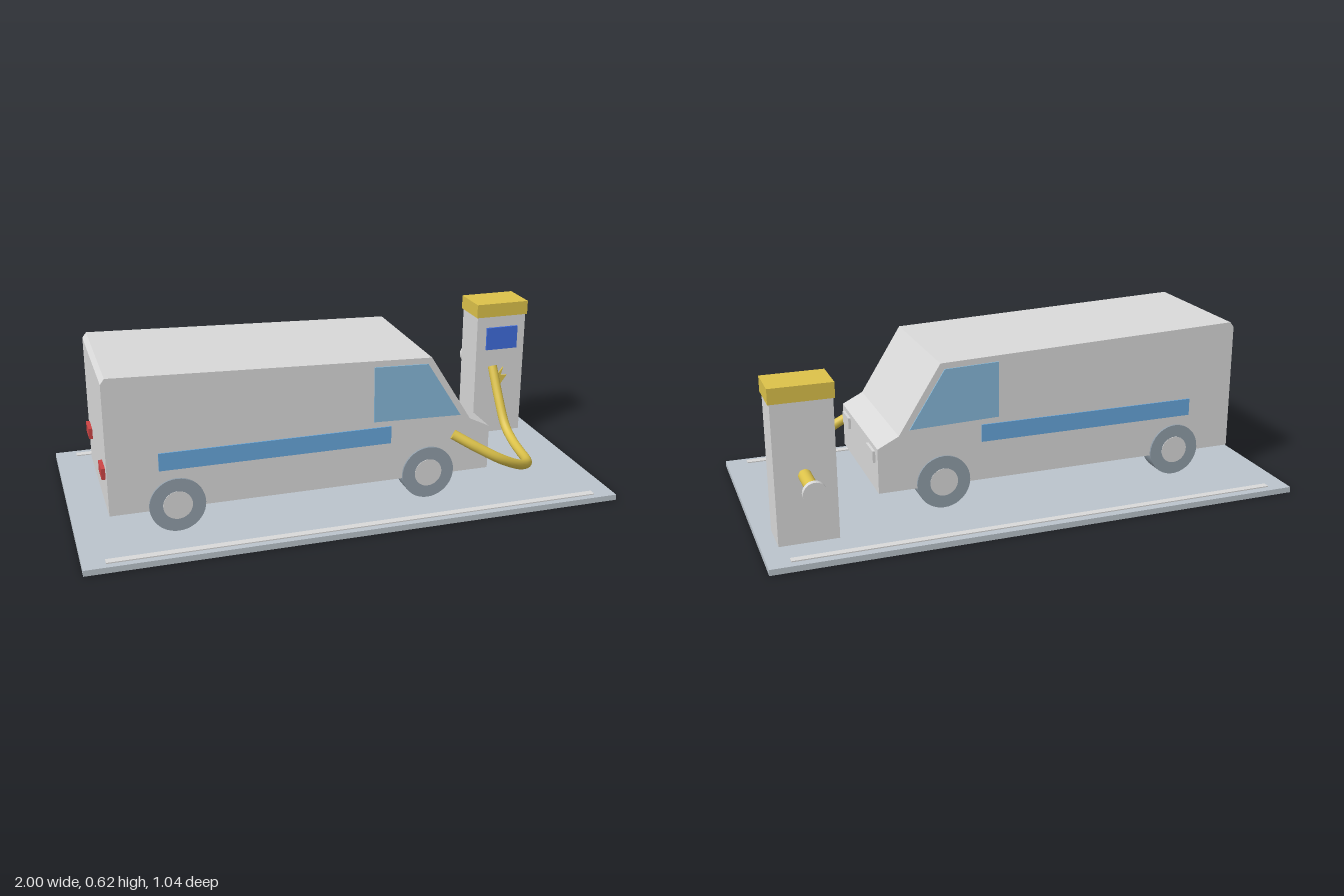
import * as THREE from 'three';

const mat = (name, color) => {
  const m = new THREE.MeshStandardMaterial({ color });
  m.name = name;
  return m;
};

export function createModel() {
  const model = new THREE.Group();
  model.name = 'vanAtChargingStation';

  const paint = mat('light grey', 0xd9d9d9);
  const ground = mat('pale slate', 0xbbc4cc);
  const tyre = mat('slate grey', 0x919ea9);
  const glass = mat('window blue', 0x86b8d9);
  const blue = mat('stripe blue', 0x67a6db);
  const screenBlue = mat('screen blue', 0x3f6cdc);
  const yellow = mat('yellow', 0xdcc24a);
  const red = mat('tail light red', 0xcc4444);

  const add = (parent, name, geometry, material) => {
    const mesh = new THREE.Mesh(geometry, material);
    mesh.name = name;
    parent.add(mesh);
    return mesh;
  };
  // Box given by its limits on each axis
  const box = (parent, name, material, [x0, x1], [y0, y1], [z0, z1]) => {
    const mesh = add(parent, name, new THREE.BoxGeometry(x1 - x0, y1 - y0, z1 - z0), material);
    mesh.position.set((x0 + x1) / 2, (y0 + y1) / 2, (z0 + z1) / 2);
    return mesh;
  };
  // Side outline extruded from z0 to z1
  const slab = (parent, name, material, points, z0, z1) => {
    const shape = new THREE.Shape(points.map(([x, y]) => new THREE.Vector2(x, y)));
    const geometry = new THREE.ExtrudeGeometry(shape, { depth: z1 - z0, bevelEnabled: false });
    geometry.translate(0, 0, z0);
    return add(parent, name, geometry, material);
  };
  // Cylinder lying along z
  const drum = (parent, name, material, radius, x, y, z0, z1) => {
    const geometry = new THREE.CylinderGeometry(radius, radius, z1 - z0, 40);
    geometry.rotateX(Math.PI / 2);
    const mesh = add(parent, name, geometry, material);
    mesh.position.set(x, y, (z0 + z1) / 2);
    return mesh;
  };

  // Parking pad with two painted lines
  const pad = new THREE.Group();
  pad.name = 'parkingPad';
  model.add(pad);
  box(pad, 'padSlab', ground, [-1, 1], [0, 0.022], [-0.507, 0.52]);
  box(pad, 'backLine', paint, [-0.92, 0.92], [0.02, 0.026], [-0.477, -0.45]);
  box(pad, 'frontLine', paint, [-0.92, 0.92], [0.02, 0.026], [0.467, 0.495]);

  // Van, built around its own centre line
  const van = new THREE.Group();
  van.name = 'van';
  van.position.z = 0.05;
  model.add(van);
  const half = 0.27;
  slab(van, 'vanBody', paint, [
    [-0.88, 0.11], [0.55, 0.11], [0.55, 0.28], [0.47, 0.32],
    [0.31, 0.575], [-0.865, 0.617], [-0.88, 0.597],
  ], -half, half);

  for (const side of [1, -1]) {
    const span = (a, b) => (side > 0 ? [a, b] : [-b, -a]);
    const skin = span(half - 0.002, half + 0.005);
    const label = side > 0 ? 'Near' : 'Far';
    slab(van, 'cabWindow' + label, glass,
      [[0.09, 0.35], [0.43, 0.34], [0.295, 0.553], [0.09, 0.56]], ...skin);
    box(van, 'sideStripe' + label, blue, [-0.7, 0.157], [0.26, 0.326], skin);
    for (const x of [-0.64, 0.306]) {
      const where = (x < 0 ? 'Rear' : 'Front') + label;
      drum(van, 'wheel' + where, tyre, 0.101, x, 0.124, ...span(0.208, 0.278));
      drum(van, 'hub' + where, paint, 0.053, x, 0.124, ...span(0.276, 0.28));
    }
    box(van, 'headlight' + label, paint, [0.545, 0.56], [0.218, 0.262], span(0.14, 0.236));
    box(van, 'tailLight' + label, red, [-0.894, -0.875], [0.235, 0.276], span(0.15, 0.233));
  }

  // Charging post
  const post = new THREE.Group();
  post.name = 'chargingPost';
  model.add(post);
  box(post, 'postBody', paint, [0.725, 0.94], [0.022, 0.537], [-0.347, -0.2]);
  box(post, 'postCap', yellow, [0.72, 0.946], [0.537, 0.593], [-0.353, -0.195]);
  box(post, 'screen', screenBlue, [0.767, 0.904], [0.395, 0.49], [-0.2, -0.191]);
  slab(post, 'boltSymbol', yellow, [
    [0.85, 0.313], [0.808, 0.257], [0.836, 0.257], [0.822, 0.213],
    [0.868, 0.276], [0.84, 0.276],
  ], -0.201, -0.194);
  drum(post, 'rearArm', yellow, 0.023, 0.835, 0.272, -0.5, -0.34);
  drum(post, 'rearArmCap', paint, 0.041, 0.835, 0.272, -0.52, -0.5);

  // Charging cable from the post to the van
  const path = new THREE.CatmullRomCurve3([
    [0.795, 0.325, -0.185], [0.801, 0.21, -0.125], [0.806, 0.105, -0.055],
    [0.807, 0.066, 0.02], [0.797, 0.057, 0.11], [0.773, 0.068, 0.21],
    [0.735, 0.088, 0.288], [0.66, 0.125, 0.361], [0.57, 0.172, 0.391],
    [0.48, 0.222, 0.37], [0.4, 0.268, 0.331],
  ].map((p) => new THREE.Vector3(...p)));
  const radius = 0.019;
  add(model, 'chargingCable', new THREE.TubeGeometry(path, 64, radius, 16), yellow);
  for (const t of [0, 1]) {
    const end = add(model, t ? 'cablePlugEnd' : 'cablePostEnd',
      new THREE.CircleGeometry(radius, 16), yellow);
    const out = path.getTangentAt(t).multiplyScalar(t ? 1 : -1);
    end.position.copy(path.getPointAt(t));
    end.quaternion.setFromUnitVectors(new THREE.Vector3(0, 0, 1), out);
  }

  return model;
}
